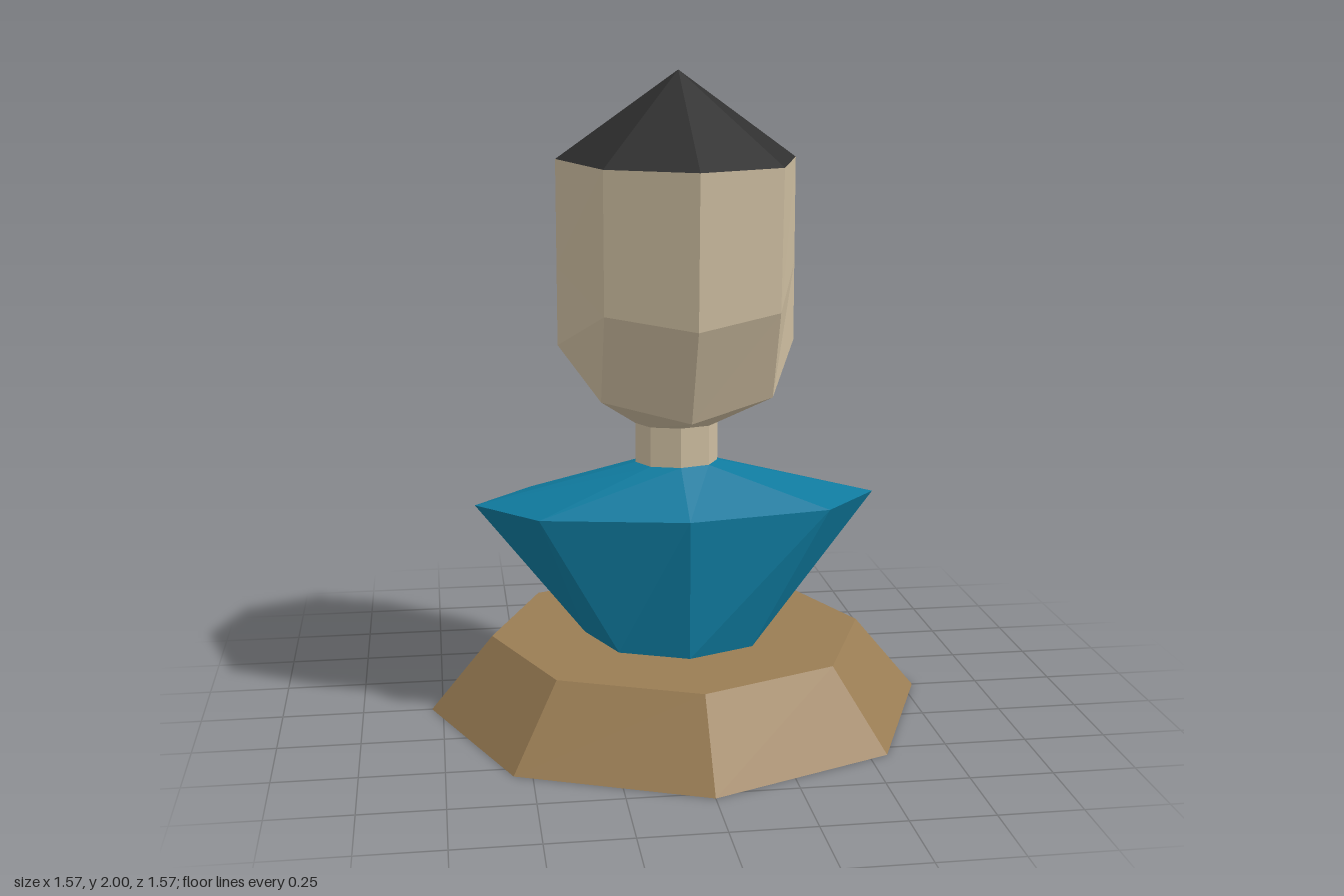
import * as THREE from 'three';

const mat = (name, color) => {
  const m = new THREE.MeshStandardMaterial({ color, flatShading: true, side: THREE.DoubleSide });
  m.name = name;
  return m;
};

// Eight-sided ring, counter-clockwise from the front (+z) towards +x.
const oval = (y, rx, rz) => Array.from({ length: 8 }, (_, i) => {
  const a = (i * Math.PI) / 4;
  return [Math.sin(a) * rx, y, Math.cos(a) * rz];
});

// Ring from its +x half (front, front diagonal, side, back diagonal, back).
const mirrored = (half) => [
  ...half,
  ...[3, 2, 1].map((i) => [-half[i][0], half[i][1], half[i][2]]),
];

const ALL = [0, 1, 2, 3, 4, 5, 6, 7];
const FRONT = [0, 1, 6, 7];
const BACK = [2, 3, 4, 5];

// Flat-faced skin between a lower and an upper ring, on the chosen sides.
function band(lower, upper, sides = ALL) {
  const out = [];
  for (const i of sides) {
    const j = (i + 1) % 8;
    out.push(...lower[i], ...lower[j], ...upper[j]);
    out.push(...lower[i], ...upper[j], ...upper[i]);
  }
  return out;
}

// Cone of triangles from a ring up to a point.
const fan = (ring, tip) => ALL.flatMap((i) => [...ring[i], ...ring[(i + 1) % 8], ...tip]);

function part(name, material, ...pieces) {
  const g = new THREE.BufferGeometry();
  g.setAttribute('position', new THREE.Float32BufferAttribute(pieces.flat(), 3));
  g.computeVertexNormals();
  const mesh = new THREE.Mesh(g, material);
  mesh.name = name;
  return mesh;
}

export function createModel() {
  const wood = mat('wood', 0x9a7d54);
  const cloth = mat('blue cloth', 0x0f7a9e);
  const skin = mat('skin', 0xcdbda0);
  const hair = mat('dark hair', 0x303030);

  const group = new THREE.Group();
  group.name = 'bust';

  // Rings from the ground up
  const foot = oval(0, 0.785, 0.785);
  const ledge = oval(0.235, 0.59, 0.59);
  const waist = oval(0.235, 0.295, 0.295);
  const shoulder = oval(0.665, 0.635, 0.295);
  const collar = oval(0.787, 0.13, 0.1);
  const throat = oval(0.912, 0.13, 0.1);

  // Tilted jaw line, low at the chin and high at the nape
  const jaw = mirrored([
    [0, 0.975, 0.325], [0.26, 1.03, 0.233], [0.37, 1.165, 0], [0.26, 1.302, -0.23], [0, 1.357, -0.325],
  ]);
  // Cheek line, bulging at the front only
  const cheek = mirrored([
    [0, 1.27, 0.455], [0.26, 1.305, 0.347], [0.37, 1.41, 0], [0.26, 1.5, -0.247], [0, 1.53, -0.352],
  ]);
  const brow = mirrored([
    [0, 1.725, 0.475], [0.262, 1.729, 0.365], [0.37, 1.735, 0], [0.262, 1.742, -0.27], [0, 1.745, -0.382],
  ]);

  // Open-bottomed stand with a ledge around the body
  group.add(part('stand', wood, band(foot, ledge), band(ledge, waist)));
  // Body tapering to the waist, with sloping shoulders
  group.add(part('torso', cloth, band(waist, shoulder), band(shoulder, collar)));
  group.add(part('neck', skin, band(collar, throat)));
  // Underside of the head and the face
  group.add(part('head', skin, band(throat, jaw), band(jaw, cheek, FRONT), band(cheek, brow, FRONT)));
  // Back of the hair and its pointed crown
  group.add(part('hair', hair, band(jaw, brow, BACK), fan(brow, [0, 2, 0.035])));

  return group;
}
